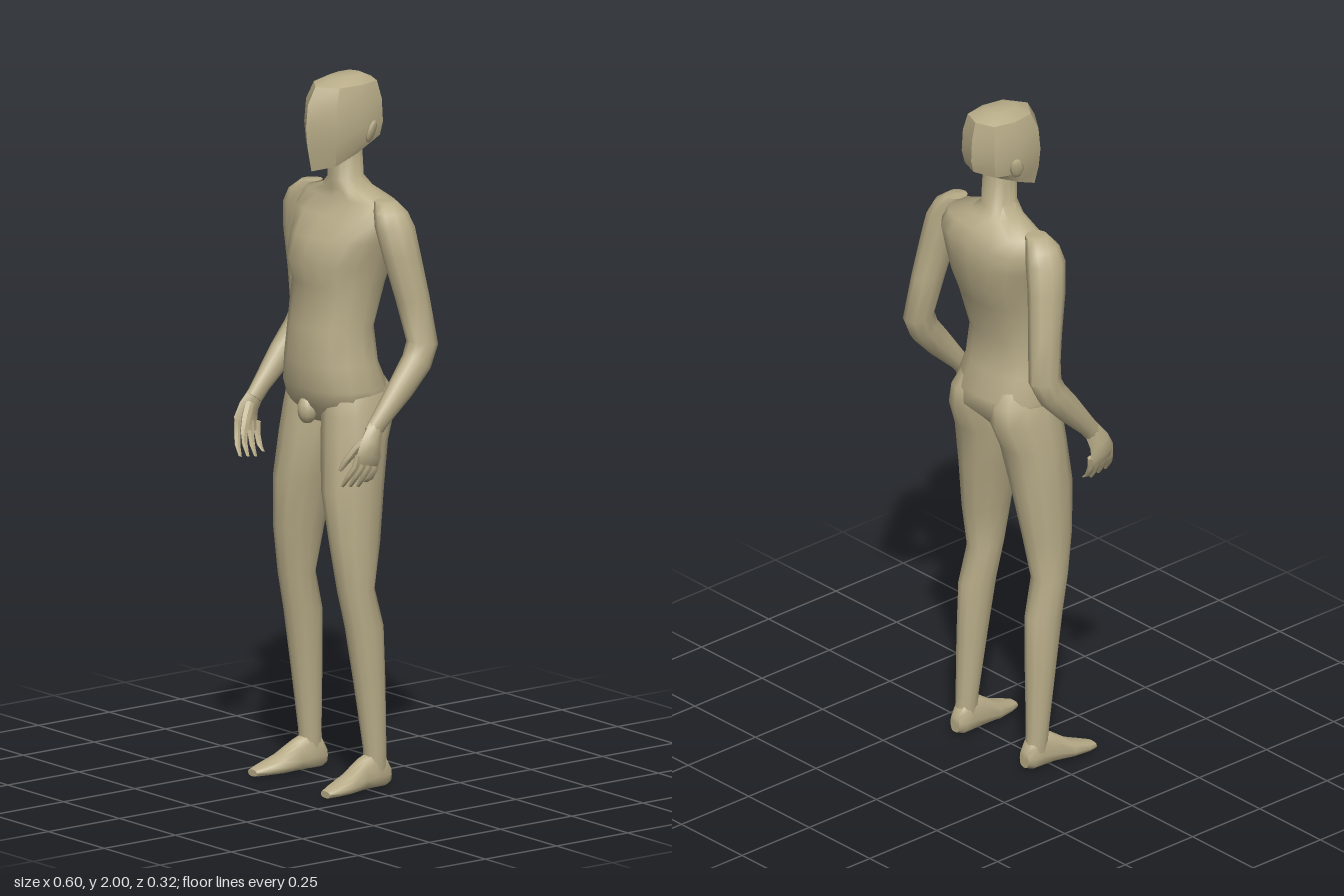
import * as THREE from 'three';
import { toCreasedNormals } from 'three/addons/utils/BufferGeometryUtils.js';

const skin = new THREE.MeshStandardMaterial({ color: 0xb8ac88 });
skin.name = 'skin';

// Skins a list of equal-length rings (ordered bottom to top) and caps both ends
function skinRings(rings, crease) {
  const n = rings[0].length, pos = [], idx = [];
  rings.forEach(r => r.forEach(p => pos.push(p.x, p.y, p.z)));
  for (let i = 0; i < rings.length - 1; i++) {
    for (let j = 0; j < n; j++) {
      const a = i * n + j, b = i * n + (j + 1) % n;
      idx.push(a, b, b + n, a, b + n, a + n);
    }
  }
  const last = (rings.length - 1) * n;
  [0, last].forEach((start, end) => {
    const c = new THREE.Vector3();
    rings[end ? rings.length - 1 : 0].forEach(p => c.addScaledVector(p, 1 / n));
    const k = pos.length / 3;
    pos.push(c.x, c.y, c.z);
    for (let j = 0; j < n; j++) {
      const a = start + j, b = start + (j + 1) % n;
      if (end) idx.push(a, b, k); else idx.push(b, a, k);
    }
  });
  const g = new THREE.BufferGeometry();
  g.setAttribute('position', new THREE.Float32BufferAttribute(pos, 3));
  g.setIndex(idx);
  g.computeVertexNormals();
  return crease ? toCreasedNormals(g, crease) : g;
}

// Section: [x, y, z, half width, depth forward, depth back, tilt about x]
function loft(sections, { sides = 12, power = 1, side = 1, crease = 0.95 } = {}) {
  const soft = v => Math.sign(v) * Math.abs(v) ** power;
  return skinRings(sections.map(([x, y, z, w, f, b, tilt = 0]) =>
    Array.from({ length: sides }, (_, j) => {
      const a = j / sides * Math.PI * 2;
      const u = soft(Math.sin(a)) * w, c = soft(Math.cos(a));
      const d = c * (c > 0 ? f : b);
      return new THREE.Vector3(side * x + u, y + d * Math.sin(tilt), z + d * Math.cos(tilt));
    })), crease);
}

function add(parent, name, geometry) {
  const m = new THREE.Mesh(geometry, skin);
  m.name = name;
  parent.add(m);
  return m;
}

function buildHead(parent) {
  // Faceted outline with a pointed face, seen from above
  const outline = [[0, 0.095], [0.072, 0.045], [0.085, -0.04], [0.068, -0.122],
    [0, -0.148], [-0.068, -0.122], [-0.085, -0.04], [-0.072, 0.045]];
  // [height, scale, slope along z, forward shift]
  const levels = [[1.773, 0.8, -0.36, 0.0], [1.815, 0.94, -0.1, 0], [1.865, 1, 0, 0],
    [1.93, 0.96, 0, -0.003], [1.978, 0.8, -0.02, -0.014], [1.998, 0.4, -0.02, -0.03]];
  add(parent, 'head', skinRings(levels.map(([y, s, slope, dz]) => outline.map(([x, z]) =>
    new THREE.Vector3(x * s, y + slope * z, z * s + dz))), 0.6));
  for (const s of [1, -1]) {
    const ear = add(parent, s > 0 ? 'leftEar' : 'rightEar', new THREE.SphereGeometry(1, 8, 6));
    ear.scale.set(0.009, 0.034, 0.02);
    ear.position.set(s * 0.093, 1.85, -0.062);
    ear.rotation.set(-0.15, s * 0.45, -s * 0.2);
  }
}

function buildTorso(parent) {
  add(parent, 'torsoAndNeck', loft([
    [0, 1.03, 0, 0.05, 0.06, 0.08], [0, 1.08, -0.01, 0.15, 0.11, 0.12],
    [0, 1.13, -0.01, 0.158, 0.125, 0.12], [0, 1.2, 0, 0.142, 0.12, 0.1],
    [0, 1.3, 0, 0.13, 0.113, 0.09], [0, 1.42, -0.02, 0.137, 0.113, 0.11],
    [0, 1.48, -0.03, 0.15, 0.142, 0.122], [0, 1.55, -0.045, 0.165, 0.13, 0.118],
    [0, 1.61, -0.05, 0.185, 0.095, 0.115], [0, 1.655, -0.05, 0.165, 0.055, 0.095],
    [0, 1.682, -0.045, 0.08, 0.05, 0.07], [0, 1.71, -0.042, 0.042, 0.05, 0.055],
    [0, 1.82, -0.04, 0.04, 0.045, 0.05],
  ], { sides: 16, power: 0.85 }));
  const groin = add(parent, 'groin', new THREE.SphereGeometry(1, 10, 8));
  groin.scale.set(0.028, 0.04, 0.03);
  groin.position.set(0, 1.065, 0.09);
}

function buildLeg(parent, side) {
  const leg = new THREE.Group();
  leg.name = side > 0 ? 'leftLeg' : 'rightLeg';
  parent.add(leg);
  add(leg, 'legLimb', loft([
    [0.145, 0.05, -0.035, 0.028, 0.035, 0.035], [0.145, 0.11, -0.033, 0.031, 0.034, 0.033],
    [0.141, 0.3, -0.018, 0.04, 0.048, 0.046], [0.137, 0.46, 0, 0.046, 0.056, 0.06],
    [0.132, 0.57, 0.022, 0.05, 0.057, 0.052], [0.125, 0.7, 0.022, 0.057, 0.078, 0.078],
    [0.108, 0.85, 0.012, 0.072, 0.1, 0.09], [0.093, 0.98, 0, 0.086, 0.097, 0.1],
    [0.085, 1.06, -0.01, 0.081, 0.1, 0.125], [0.08, 1.12, -0.01, 0.075, 0.09, 0.122],
    [0.075, 1.18, -0.01, 0.055, 0.06, 0.08],
  ], { side }));
  // Foot runs from toe to heel, its rings standing upright
  const t = Math.PI / 2;
  add(leg, 'foot', loft([
    [0.163, 0.01, 0.155, 0.02, 0.009, 0.01, t], [0.16, 0.014, 0.125, 0.031, 0.016, 0.014, t],
    [0.153, 0.02, 0.07, 0.037, 0.032, 0.02, t], [0.146, 0.03, 0.015, 0.031, 0.06, 0.028, t],
    [0.144, 0.035, -0.03, 0.029, 0.075, 0.034, t], [0.143, 0.035, -0.06, 0.028, 0.055, 0.034, t],
    [0.143, 0.033, -0.08, 0.018, 0.025, 0.025, t],
  ], { side, power: 0.75 }));
}

function buildArm(parent, side) {
  const arm = new THREE.Group();
  arm.name = side > 0 ? 'leftArm' : 'rightArm';
  parent.add(arm);
  add(arm, 'armLimb', loft([
    [0.265, 1.045, 0.07, 0.019, 0.027, 0.027, 0.65], [0.266, 1.08, 0.042, 0.023, 0.028, 0.028, 0.75],
    [0.267, 1.16, -0.03, 0.033, 0.04, 0.04, 0.75], [0.264, 1.225, -0.085, 0.039, 0.043, 0.047, 0.55],
    [0.259, 1.275, -0.108, 0.039, 0.045, 0.05, 0.15], [0.241, 1.4, -0.09, 0.043, 0.05, 0.05, -0.1],
    [0.222, 1.52, -0.068, 0.047, 0.058, 0.056], [0.205, 1.6, -0.055, 0.05, 0.057, 0.06],
    [0.19, 1.64, -0.052, 0.042, 0.048, 0.052], [0.165, 1.667, -0.052, 0.03, 0.03, 0.035],
  ], { side, sides: 10 }));

  // Hand: flat palm facing the thigh, four curled fingers and a thumb
  const hand = new THREE.Group();
  hand.name = 'hand';
  arm.add(hand);
  add(hand, 'palm', loft([
    [0.268, 0.958, 0.093, 0.013, 0.04, 0.044, 0.25], [0.276, 0.985, 0.09, 0.017, 0.043, 0.042, 0.3],
    [0.274, 1.02, 0.08, 0.019, 0.036, 0.034, 0.45], [0.266, 1.06, 0.06, 0.019, 0.026, 0.026, 0.6],
  ], { side, sides: 8 }));
  for (let i = 0; i < 4; i++) {
    const z = 0.06 + i * 0.023, y = 0.952 + i * 0.004, r = 0.0105;
    add(hand, 'finger', loft([
      [0.228, y - 0.068 + (i === 0 ? 0.014 : 0), z + 0.006 + i * 0.004, 0.005, 0.005, 0.005, 0.3],
      [0.247, y - 0.04, z + 0.004 + i * 0.003, 0.009, 0.009, 0.009, 0.3],
      [0.264, y - 0.008, z, r, r, r, 0.3], [0.27, y + 0.025, z - 0.006, r, r, r, 0.3],
    ], { side, sides: 6 }));
  }
  add(hand, 'thumb', loft([
    [0.215, 0.938, 0.145, 0.006, 0.006, 0.006, 0.4], [0.228, 0.965, 0.135, 0.011, 0.011, 0.011, 0.4],
    [0.245, 1.0, 0.113, 0.013, 0.014, 0.014, 0.5], [0.264, 1.035, 0.085, 0.012, 0.014, 0.014, 0.6],
  ], { side, sides: 6 }));
}

export function createModel() {
  const figure = new THREE.Group();
  figure.name = 'standingFigure';
  buildHead(figure);
  buildTorso(figure);
  for (const side of [1, -1]) {
    buildLeg(figure, side);
    buildArm(figure, side);
  }
  return figure;
}
